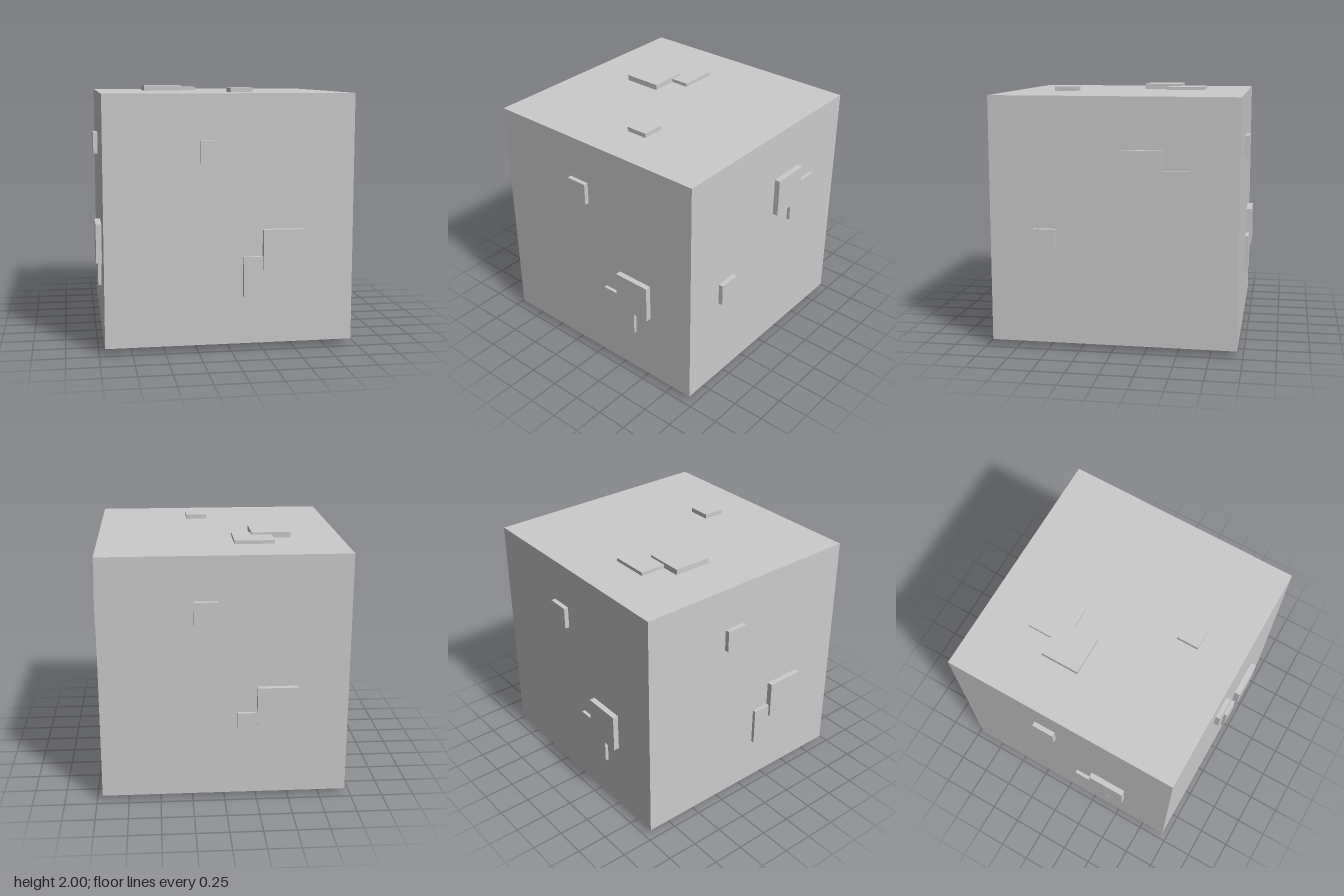
import * as THREE from 'three';

const HALF = 0.955; // half the side of the main cube
const SINK = 0.01; // how far plates are set into the cube

// Plates on every face: position (u, v) on the face, side length, height
const PLATES = [
  { name: 'largePlate', u: 0.404, v: -0.224, size: 0.31, height: 0.045 },
  { name: 'lowerPlate', u: 0.254, v: -0.432, size: 0.31, height: 0.027 },
  { name: 'smallPlate', u: -0.144, v: 0.523, size: 0.177, height: 0.036 },
];

// Each face: outward normal and the directions of u and v
const FACES = [
  { name: 'front', n: [0, 0, 1], u: [1, 0, 0], v: [0, 1, 0] },
  { name: 'back', n: [0, 0, -1], u: [-1, 0, 0], v: [0, 1, 0] },
  { name: 'left', n: [1, 0, 0], u: [0, 1, 0], v: [0, 0, 1] },
  { name: 'right', n: [-1, 0, 0], u: [0, 0, 1], v: [0, 1, 0] },
  { name: 'top', n: [0, 1, 0], u: [-1, 0, 0], v: [0, 0, 1] },
  { name: 'bottom', n: [0, -1, 0], u: [1, 0, 0], v: [0, 0, 1] },
];

export function createModel() {
  const model = new THREE.Group();
  model.name = 'platedCube';
  const material = new THREE.MeshStandardMaterial({ color: 0xcccccc, flatShading: true });

  // Main body
  const body = new THREE.Mesh(new THREE.BoxGeometry(2 * HALF, 2 * HALF, 2 * HALF), material);
  body.name = 'body';
  body.position.y = 1;
  model.add(body);

  // Three square plates on each face
  for (const face of FACES) {
    const group = new THREE.Group();
    group.name = `${face.name}Plates`;
    group.position.y = 1;
    for (const plate of PLATES) {
      const depth = plate.height + SINK;
      const dims = face.n.map((c) => (c ? depth : plate.size));
      const mesh = new THREE.Mesh(new THREE.BoxGeometry(...dims), material);
      mesh.name = plate.name;
      mesh.position
        .addScaledVector(new THREE.Vector3(...face.n), HALF + plate.height - depth / 2)
        .addScaledVector(new THREE.Vector3(...face.u), plate.u)
        .addScaledVector(new THREE.Vector3(...face.v), plate.v);
      group.add(mesh);
    }
    model.add(group);
  }
  return model;
}
